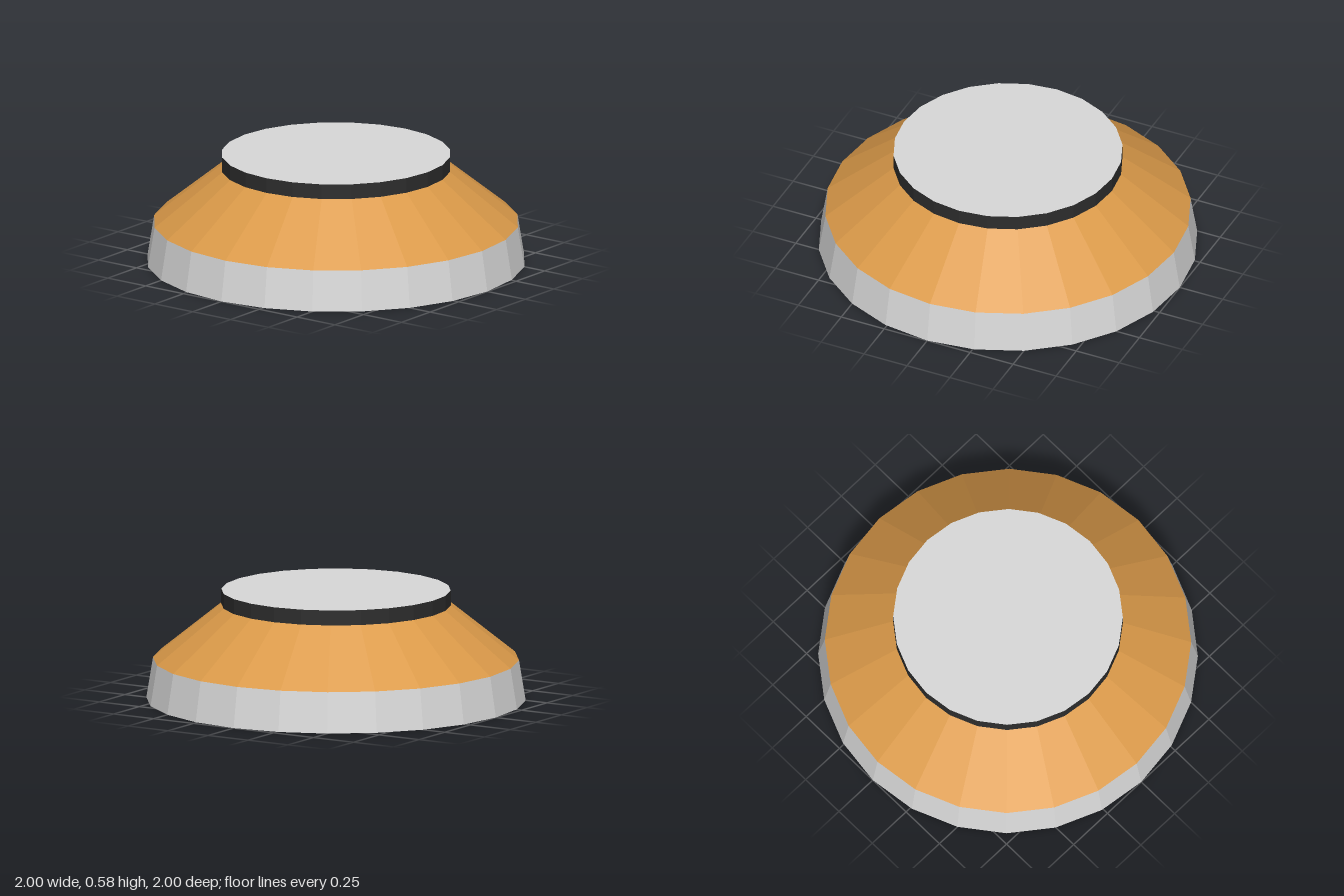
import * as THREE from 'three';

export function createModel() {
  const SIDES = 24;
  const mat = (name, color) => {
    const m = new THREE.MeshStandardMaterial({ color, flatShading: true });
    m.name = name;
    return m;
  };
  const grey = mat('light grey', 0xd8d8d8);
  const orange = mat('orange', 0xdb9a49);
  const black = mat('black', 0x2d2d2d);

  const group = new THREE.Group();
  group.name = 'taperedBase';

  // One faceted ring between two heights; materials are [side, top, bottom]
  const addTier = (name, rTop, rBottom, y0, y1, materials, open = false) => {
    const geo = new THREE.CylinderGeometry(rTop, rBottom, y1 - y0, SIDES, 1, open);
    const mesh = new THREE.Mesh(geo, materials);
    mesh.name = name;
    mesh.position.y = (y0 + y1) / 2;
    group.add(mesh);
  };

  // Skirt with a black underside
  addTier('skirt', 0.965, 1, 0, 0.215, [grey, grey, black]);
  // Sloping shoulder
  addTier('shoulder', 0.605, 0.965, 0.215, 0.505, orange, true);
  // Black collar capped by a grey top plate
  addTier('collar', 0.605, 0.605, 0.505, 0.585, [black, grey, black]);

  return group;
}
